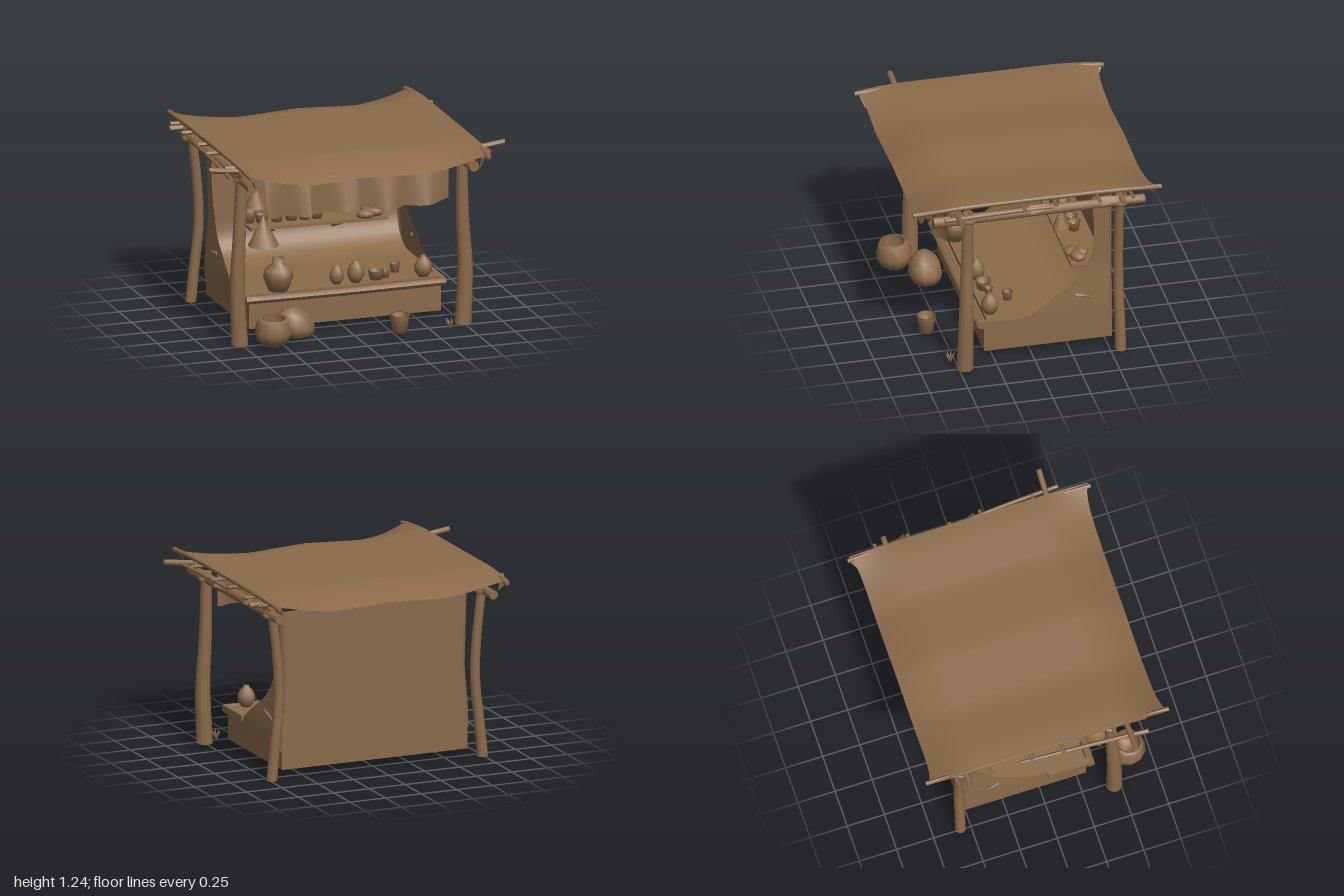
import * as THREE from 'three';

const V = (x, y, z) => new THREE.Vector3(x, y, z);

export function createModel() {
  const brown = new THREE.MeshStandardMaterial({ color: 0x8b6a4a, side: THREE.DoubleSide });
  brown.name = 'weathered brown';
  const model = new THREE.Group();
  model.name = 'marketStall';

  const add = (name, geo, x = 0, y = 0, z = 0) => {
    const m = new THREE.Mesh(geo, brown);
    m.name = name;
    m.position.set(x, y, z);
    model.add(m);
    return m;
  };

  // Capped, tapered pole that follows a crooked path
  const pole = (name, pts, r0, r1 = r0, sides = 10) => {
    const curve = new THREE.CatmullRomCurve3(pts.map(p => V(...p)));
    const axis = V(...pts[pts.length - 1]).sub(V(...pts[0])).normalize();
    const q = new THREE.Quaternion().setFromUnitVectors(V(0, 1, 0), axis);
    const geo = new THREE.CylinderGeometry(1, 1, 1, sides, 10);
    const p = geo.attributes.position;
    for (let i = 0; i < p.count; i++) {
      const t = p.getY(i) + 0.5, r = r0 + (r1 - r0) * t;
      const v = V(p.getX(i) * r, 0, p.getZ(i) * r).applyQuaternion(q).add(curve.getPoint(t));
      p.setXYZ(i, v.x, v.y, v.z);
    }
    geo.computeVertexNormals();
    return add(name, geo);
  };

  // Cloth sheet: f(u, v) gives a point for u, v in 0..1
  const cloth = (name, nu, nv, f) => {
    const geo = new THREE.PlaneGeometry(1, 1, nu, nv);
    const p = geo.attributes.position;
    for (let i = 0; i < p.count; i++) p.setXYZ(i, ...f(p.getX(i) + 0.5, p.getY(i) + 0.5));
    geo.computeVertexNormals();
    return add(name, geo);
  };

  const lathe = (name, prof, x, y, z, sides = 10) =>
    add(name, new THREE.LatheGeometry(prof.map(p => new THREE.Vector2(...p)), sides), x, y, z);

  // Interpolates a short list of [key, value] pairs
  const lerpTable = (tab, k) => {
    for (let i = 1; i < tab.length; i++) {
      const [a, b] = [tab[i - 1], tab[i]];
      if (k <= b[0]) return a[1] + (b[1] - a[1]) * Math.max(0, (k - a[0]) / (b[0] - a[0]));
    }
    return tab[tab.length - 1][1];
  };

  // Sagging roof cloth, flat in the middle and drooping at the front and back edges
  const ridge = [[0, 1.234], [0.4, 1.212], [0.72, 1.236], [0.82, 1.236]];
  cloth('roofCloth', 32, 40, (u, v) => {
    const x = (u - 0.5) * 1.635, e = (0.5 - v) * 2, a = Math.abs(x);
    const sag = (e > 0 ? 0.08 : 0.06) * (1 - Math.pow(a / 0.8175, 4)) + 0.025;
    const droop = Math.pow(Math.max(0, (Math.abs(e) - 0.6) / 0.4), 1.5);
    return [x, lerpTable(ridge, a) - sag * droop, e * (0.765 + 0.04 * Math.pow(a / 0.8175, 12))];
  });

  // Posts, roof frame and lashings on both sides
  for (const s of [-1, 1]) {
    const f = s < 0 ? -0.765 : 0.748;
    pole('frontPost', [[f, 0, 0.46], [f + s * 0.015, 0.38, 0.455], [f, 0.7, 0.448], [s * 0.745, 1.14, 0.438]],
      0.055, 0.036);
    pole('backPost', [[s * 0.74, 0, -0.567], [s * 0.715, 0.25, -0.565], [s * 0.688, 0.52, -0.563],
      [s * 0.7, 0.8, -0.562], [s * 0.74, 1.14, -0.56]], 0.036, 0.03);
    pole('sideBeam', [[s * 0.75, 1.1, 0.67], [s * 0.74, 1.095, 0], [s * 0.75, 1.1, -0.72]], 0.035, 0.03);
    pole('roofEdgeRod', [[s * 0.8, 1.2, 0.815], [s * 0.8, 1.215, 0.5], [s * 0.805, 1.215, -0.5],
      [s * 0.798, 1.2, -0.82]], 0.016, 0.016, 8);
    for (const z of [0.435, -0.562]) {
      const lash = add('lashing', new THREE.TorusGeometry(0.04, 0.014, 6, 12), s * 0.745, 1.09, z);
      lash.rotation.x = Math.PI / 2;
      const knot = add('beamKnot', new THREE.TorusGeometry(0.026, 0.013, 6, 10), s * 0.79, 1.17, z > 0 ? 0.53 : -0.56);
      knot.rotation.y = Math.PI / 2;
    }
    // Torn cloth corners hanging under the roof edge
    for (const [z, d] of [[0.75, 0.08], [-0.77, 0.05]])
      cloth('clothScrap', 2, 2, (u, v) =>
        [s * (0.79 - 0.03 * (1 - v)), 1.195 - d * (1 - v), z + (u - 0.5) * 0.08 * (0.2 + 0.8 * v)]);
  }
  pole('leftRail', [[0.87, 1.175, 0.62], [0.855, 1.175, 0.3], [0.83, 1.165, -0.1]], 0.014, 0.012, 7);
  pole('rightRail', [[-0.89, 1.17, 0.65], [-0.865, 1.175, 0.2], [-0.84, 1.165, -0.2]], 0.015, 0.012, 7);
  // Loose cloth strips along the left side
  for (const z of [-0.5, -0.03])
    cloth('clothScrap', 2, 2, (u, v) =>
      [0.82 + 0.055 * (1 - v) * u, 1.185 - 0.035 * (1 - v), z + (u - 0.5) * 0.17]);

  pole('frontBeam', [[-1, 1.205, 0.535], [-0.75, 1.175, 0.53], [0, 1.15, 0.53], [0.75, 1.175, 0.53], [1, 1.205, 0.535]],
    0.019, 0.019, 8);
  pole('backBeam', [[-0.89, 1.17, -0.55], [0, 1.16, -0.555], [0.89, 1.17, -0.55]], 0.02, 0.018, 8);
  for (const [z, w] of [[0.44, 0.86], [0.09, 0.87], [-0.12, 0.85], [-0.4, 0.86], [-0.62, 0.86]])
    pole('rafter', [[-w, 1.18, z], [0, 1.165, z + 0.01], [w, 1.18, z]], 0.014, 0.012, 7);

  // Ragged front valance in overlapping panels
  [[-0.63, -0.33], [-0.35, 0.0], [-0.01, 0.3], [0.28, 0.62]].forEach(([x0, x1], i) =>
    cloth('valancePanel', 8, 4, (u, v) => {
      const hem = 0.85 + (i % 2 ? 0.02 * u * u : 0.02 * (1 - u) ** 3);
      return [x0 + (x1 - x0) * u, hem + (1.13 - hem) * v,
        0.55 + (1 - v) * (0.03 + 0.04 * Math.cos(u * Math.PI * 2 + i))];
    }));

  // Base chest and counter
  add('baseChest', new THREE.BoxGeometry(1.3, 0.19, 0.84), 0, 0.145, -0.11);
  add('counterTop', new THREE.BoxGeometry(1.3, 0.03, 0.8), 0, 0.257, -0.11);
  pole('counterLip', [[-0.68, 0.25, 0.335], [0, 0.247, 0.338], [0.67, 0.25, 0.335]], 0.026, 0.026, 6);
  for (const s of [-1, 1]) add('counterEnd', new THREE.BoxGeometry(0.04, 0.045, 0.28), s * 0.655, 0.25, 0.19);

  // Backdrop cloth wrapping round both sides, with soft corners
  const wingFront = [[0.18, 0.05], [0.27, 0.03], [0.36, -0.1], [0.48, -0.28], [0.56, -0.35], [0.66, -0.395],
    [0.85, -0.415], [1.08, -0.395]];
  const halfWidth = [[0.18, 0.672], [0.3, 0.67], [0.6, 0.645], [1.1, 0.66]];
  const corner = 0.05, backZ = -0.538;
  cloth('backdropCloth', 48, 24, (u, v) => {
    const y = 0.18 + 0.92 * v + (v === 0 ? 0.012 * Math.sin(u * 37) : 0);
    const s = u < 0.5 ? -1 : 1, a = Math.abs(u - 0.5) * 2, w = lerpTable(halfWidth, y);
    if (a < 0.5) return [s * (w - corner) * a / 0.5, y, backZ];
    if (a < 0.7) {
      const t = (a - 0.5) / 0.2 * Math.PI / 2;
      return [s * (w - corner + corner * Math.sin(t)), y, backZ + corner * (1 - Math.cos(t))];
    }
    const z0 = backZ + corner;
    return [s * w, y, z0 + (lerpTable(wingFront, y) - z0) * (a - 0.7) / 0.3];
  });
  // Cloth sloping from the counter up to the wall inside
  cloth('innerDrape', 8, 10, (u, v) =>
    [(u - 0.5) * 1.28, 0.274 + 0.25 * v * v, -0.25 - 0.275 * Math.sin(v * Math.PI / 2)]);

  // Shelf with brackets
  const shelf = add('shelf', new THREE.BoxGeometry(0.93, 0.018, 0.22), 0.04, 0.513, -0.41);
  shelf.rotation.z = -0.012;
  for (const x of [-0.25, 0.2])
    pole('shelfBracket', [[x, 0.505, -0.32], [x, 0.47, -0.42], [x, 0.43, -0.52]], 0.012, 0.012, 6);
  for (const s of [-1, 1])
    pole('clothPeg', [[s * 0.66, 0.39, -0.28], [s * 0.672, 0.385, -0.34], [s * 0.66, 0.35, -0.41]], 0.011, 0.009, 6);

  // Open cups and pots share one profile with an inner wall
  const cup = (name, x, y, z, r, h) =>
    lathe(name, [[0, 0], [r * 0.72, 0], [r, h], [r * 0.85, h], [r * 0.6, h * 0.25], [0, h * 0.25]], x, y, z);
  for (const x of [-0.31, -0.21, -0.11, -0.02, 0.06]) cup('shelfCup', x, 0.52, -0.42, 0.045, 0.06);
  cup('counterBowl', 0.24, 0.272, 0.22, 0.052, 0.06);
  cup('counterCup', 0.41, 0.272, 0.1, 0.035, 0.06);
  cup('counterCup', 0.31, 0.272, 0.2, 0.03, 0.045);
  cup('groundBucket', 0.27, 0.025, 0.6, 0.065, 0.115);

  // Closed jars and vases scaled from shared profiles
  const jarProfile = [[0, 0], [0.65, 0], [1, 0.42], [0.9, 0.66], [0.4, 0.84], [0.42, 1], [0.25, 1], [0, 0.88]];
  const vaseProfile = [[0, 0], [0.55, 0], [0.95, 0.25], [1, 0.5], [0.7, 0.78], [0.3, 0.94], [0.28, 1], [0, 0.98]];
  const vessel = (name, prof, x, y, z, r, h) => lathe(name, prof.map(([a, b]) => [a * r, b * h]), x, y, z);
  vessel('largeJar', jarProfile, -0.43, 0.272, 0.245, 0.097, 0.215);
  vessel('smallVase', vaseProfile, -0.03, 0.272, 0.23, 0.046, 0.13);
  vessel('smallVase', vaseProfile, 0.1, 0.272, 0.23, 0.054, 0.145);
  vessel('counterJar', vaseProfile, 0.55, 0.272, 0.25, 0.058, 0.14);
  vessel('shelfJug', jarProfile, -0.39, 0.522, -0.44, 0.045, 0.145);

  // Bread heap on the shelf
  [[0.36, 0.54, 0.055], [0.43, 0.545, 0.06], [0.4, 0.56, 0.05]].forEach(([x, y, r], i) =>
    add('bread', new THREE.SphereGeometry(r, 8, 6), x, y, -0.33 - 0.03 * i).scale.set(1.1, 0.55, 0.9));

  // Hanging cone lamps and a hanging bucket
  const cone = (x, y, z, r, h) => add('hangingCone', new THREE.ConeGeometry(r, h, 10, 1, true), x, y + h / 2, z);
  cone(-0.53, 0.58, 0.245, 0.102, 0.2);
  cone(-0.4, 0.675, -0.28, 0.07, 0.16);
  cone(0.3, 0.7, -0.28, 0.055, 0.13);
  cup('hangingBucket', 0.065, 0.72, -0.29, 0.04, 0.135).rotation.z = -0.1;

  // Round open pot and lumpy sack on the ground
  lathe('roundPot', [[0, 0], [0.06, 0], [0.108, 0.045], [0.12, 0.1], [0.1, 0.165], [0.085, 0.19], [0.07, 0.18],
    [0.09, 0.11], [0.06, 0.05], [0, 0.04]], -0.59, 0.02, 0.595, 12).rotation.x = 0.1;
  const sackGeo = new THREE.SphereGeometry(1, 9, 7);
  const sp = sackGeo.attributes.position;
  for (let i = 0; i < sp.count; i++) {
    const y = Math.max(-0.75, sp.getY(i)), k = 1 - 0.15 * y;
    sp.setXYZ(i, sp.getX(i) * k - 0.15 * y, y, sp.getZ(i) * k);
  }
  sackGeo.computeVertexNormals();
  add('sack', sackGeo, -0.39, 0.1, 0.45).scale.set(0.13, 0.115, 0.11);

  // Grass tuft beside the front post
  for (let i = 0; i < 7; i++) {
    const a = i * 0.9, blade = add('grassBlade', new THREE.ConeGeometry(0.01, 0.07, 4),
      0.635 + 0.018 * Math.cos(a), 0.033, 0.53 + 0.018 * Math.sin(a));
    blade.rotation.set(0.5 * Math.sin(a), 0, -0.5 * Math.cos(a));
  }
  return model;
}
